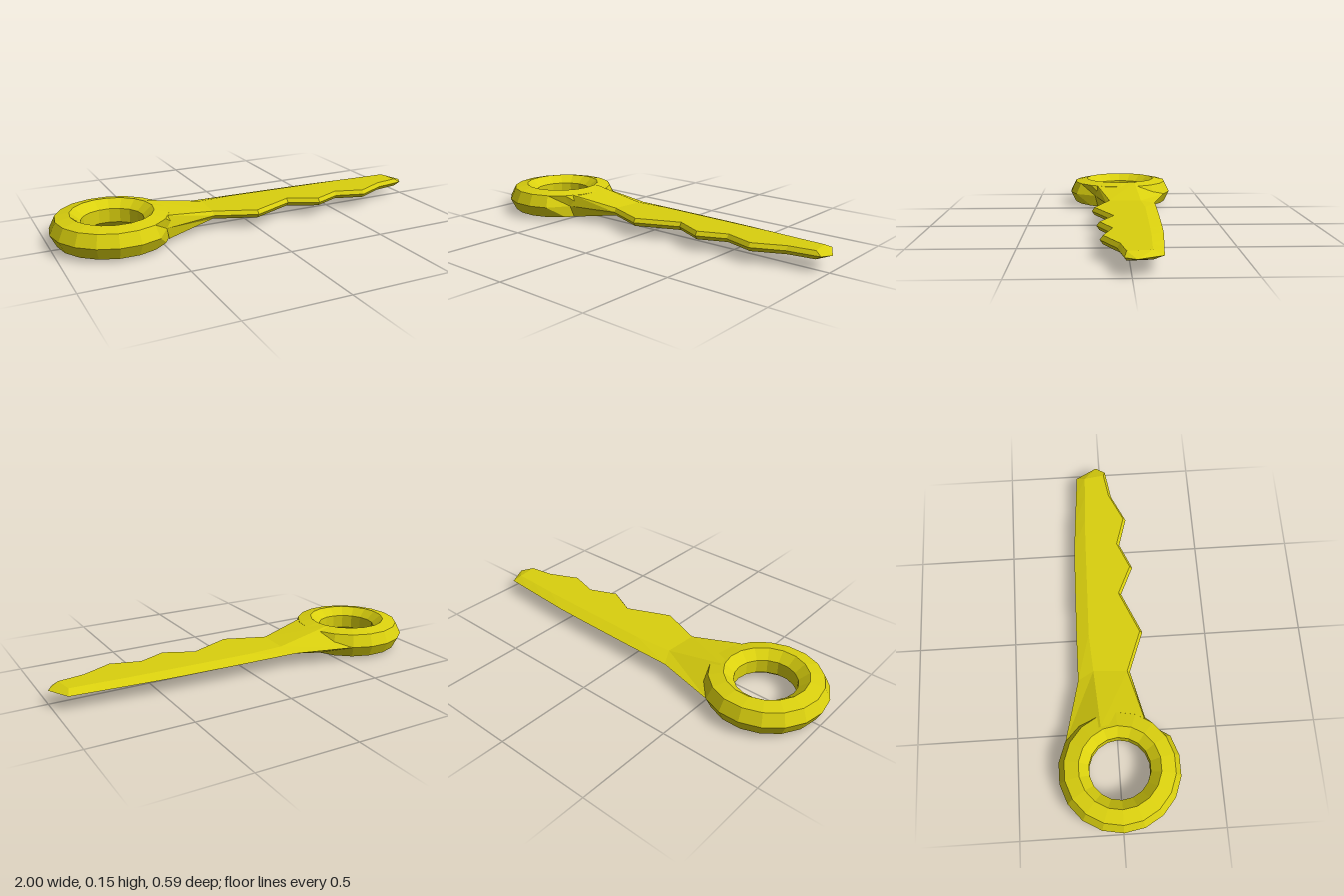
import * as THREE from 'three';

const MID = 0.075; // height of the symmetry plane

// Unshared vertices give crisp facets
function faceted(geometry) {
  const flat = geometry.index ? geometry.toNonIndexed() : geometry;
  flat.computeVertexNormals();
  return flat;
}

// Finger ring: an 18-sided bevelled band, narrowed where it meets the blade's toothed edge
function ringGeometry() {
  const profile = [
    [0.2, 0], [0.27, 0.015], [0.3, MID], [0.27, 0.135], [0.2, 0.15],
    [0.15, 0.11], [0.15, 0.04], [0.2, 0],
  ].map(([r, y]) => new THREE.Vector2(r, y));
  const geometry = new THREE.LatheGeometry(profile, 18, Math.PI / 2);
  geometry.translate(-0.7, 0, 0);
  const p = geometry.attributes.position;
  for (let i = 0; i < p.count; i++) {
    const x = p.getX(i), z = p.getZ(i);
    const outer = Math.hypot(x + 0.7, z) > 0.29;
    if (outer && x > -0.5 && z > 0.15) p.setXYZ(i, -0.48, MID, 0.15);
  }
  return faceted(geometry);
}

// Blade: six-sided sections joined along x, closed to a tip.
// Each section lists back edge, ridge, front shoulder and front edge as [x, z, half thickness].
function bladeGeometry() {
  const T = 0.02;
  const plain = (x, back, ridge, front) =>
    [[x, back, 0], [x, ridge, T], [x, front - 0.014, T], [x, front, 0]];
  const sections = [
    [[-0.55, -0.258, 0], [-0.5, -0.08, 0.075], [-0.466, 0.135, 0.06], [-0.48, 0.15, 0]],
    [[-0.24, -0.18, 0], [-0.2, -0.1, T], [-0.21, 0.071, T], [-0.21, 0.085, 0]],
    plain(0, -0.177, -0.113, 0.165),
    plain(0.22, -0.172, -0.108, 0.07),
    plain(0.37, -0.168, -0.105, 0.14),
    plain(0.51, -0.163, -0.102, 0.08),
    plain(0.66, -0.152, -0.098, 0.125),
    plain(0.81, -0.14, -0.09, 0.055),
    [[0.94, -0.13, 0], [0.925, -0.085, T], [0.94, 0.02, T], [0.97, 0.03, 0]],
  ];
  const positions = [];
  for (const s of sections) {
    const top = s.map(([x, z, h]) => [x, MID + h, z]);
    const bottom = [s[2], s[1]].map(([x, z, h]) => [x, MID - h, z]);
    positions.push(...top.flat(), ...bottom.flat());
  }
  const tip = positions.length / 3;
  positions.push(1, MID, -0.02);

  const index = [];
  const last = sections.length - 1;
  for (let j = 0; j < 6; j++) {
    const k = (j + 1) % 6;
    for (let i = 0; i < last; i++) {
      const a = i * 6 + j, b = i * 6 + k;
      index.push(a, b, b + 6, a, b + 6, a + 6);
    }
    index.push(last * 6 + j, last * 6 + k, tip);
  }
  const geometry = new THREE.BufferGeometry();
  geometry.setAttribute('position', new THREE.Float32BufferAttribute(positions, 3));
  geometry.setIndex(index);
  return faceted(geometry);
}

export function createModel() {
  const yellow = new THREE.MeshStandardMaterial({ color: 0xdad00e });
  yellow.name = 'yellow';
  const group = new THREE.Group();
  group.name = 'key';
  const add = (name, geometry) => {
    const mesh = new THREE.Mesh(geometry, yellow);
    mesh.name = name;
    group.add(mesh);
  };
  add('ring', ringGeometry());
  add('toothedBlade', bladeGeometry());
  return group;
}
